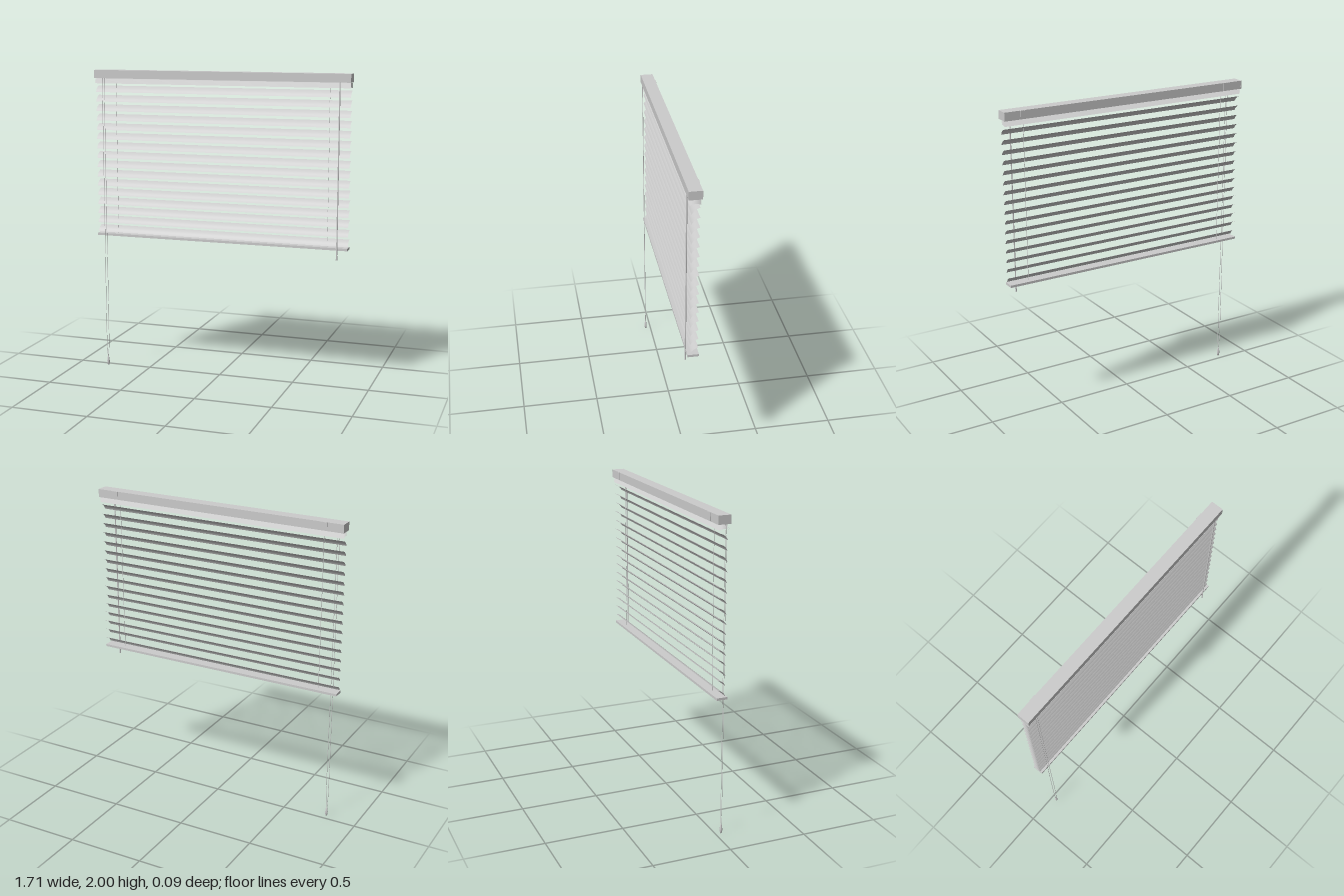
import * as THREE from 'three';

const WIDTH = 1.7, SLAT_DEPTH = 0.064, CROWN = 0.008;

export function createModel() {
  const group = new THREE.Group();
  const solid = new THREE.MeshStandardMaterial({ color: 0xcccccc });
  const thin = new THREE.MeshStandardMaterial({ color: 0xcccccc, side: THREE.DoubleSide });

  const add = (name, geometry, x, y, z, material = solid) => {
    const mesh = new THREE.Mesh(geometry, material);
    mesh.name = name;
    mesh.position.set(x, y, z);
    group.add(mesh);
    return mesh;
  };
  const box = (name, w, h, d, x, y, z) => add(name, new THREE.BoxGeometry(w, h, d), x, y, z);
  const rod = (name, r, y0, y1, x, z, sides = 8) =>
    add(name, new THREE.CylinderGeometry(r, r, y1 - y0, sides), x, (y0 + y1) / 2, z);

  // Head rail with end caps
  box('headRail', 1.696, 0.053, 0.079, 0, 1.9735, -0.002);
  for (const s of [-1, 1]) box('endCap', 0.006, 0.053, 0.08, s * 0.85, 1.9735, -0.002);

  // Wall brackets hooked on the back of the rail
  for (const s of [-1, 1]) box('wallBracket', 0.043, 0.05, 0.005, s * 0.73, 1.9745, -0.0425);

  // Thin slat with a crowned cross-section
  const slat = new THREE.PlaneGeometry(WIDTH, SLAT_DEPTH, 1, 8);
  slat.rotateX(-Math.PI / 2);
  const p = slat.attributes.position;
  for (let i = 0; i < p.count; i++) {
    const t = p.getZ(i) / (SLAT_DEPTH / 2);
    p.setY(i, CROWN * (0.5 - t * t));
  }
  slat.computeVertexNormals();

  // Tilted slats, front edge down
  for (let i = 0; i < 16; i++) {
    add('slat', slat, 0, 1.879 - i * 0.0621, -0.002, thin).rotation.x = 0.69;
  }

  // Gathered slats under the head rail
  for (let i = 0; i < 5; i++) add('stackedSlat', slat, 0, 1.941 - i * 0.006, -0.001, thin);

  // Bottom rail
  box('bottomRail', WIDTH, 0.015, 0.068, 0, 0.9095, 0);

  // Lift cords through the slats
  for (const s of [-1, 1]) rod('liftCord', 0.0015, 0.91, 1.95, s * 0.715, -0.002, 6);

  // Tilt wand with a thicker grip end
  rod('tiltWand', 0.004, 0.84, 1.95, 0.784, 0.035);
  rod('wandTip', 0.005, 0.84, 0.87, 0.784, 0.035);

  // Pull cords meeting in a tassel
  for (const s of [-1, 1]) {
    const path = new THREE.CatmullRomCurve3([
      new THREE.Vector3(-0.79 + s * 0.007, 1.95, 0.036),
      new THREE.Vector3(-0.79 + s * 0.007, 1.0, 0.036),
      new THREE.Vector3(-0.79 + s * 0.006, 0.12, 0.036),
      new THREE.Vector3(-0.79 + s * 0.002, 0.06, 0.036),
    ]);
    add('pullCord', new THREE.TubeGeometry(path, 24, 0.0015, 6), 0, 0, 0);
  }
  const profile = [[0, 0], [0.005, 0.001], [0.008, 0.015], [0.009, 0.027], [0.007, 0.045], [0.004, 0.062], [0, 0.066]]
    .map(([r, y]) => new THREE.Vector2(r, y));
  add('tassel', new THREE.LatheGeometry(profile, 12), -0.79, 0, 0.036);

  return group;
}
